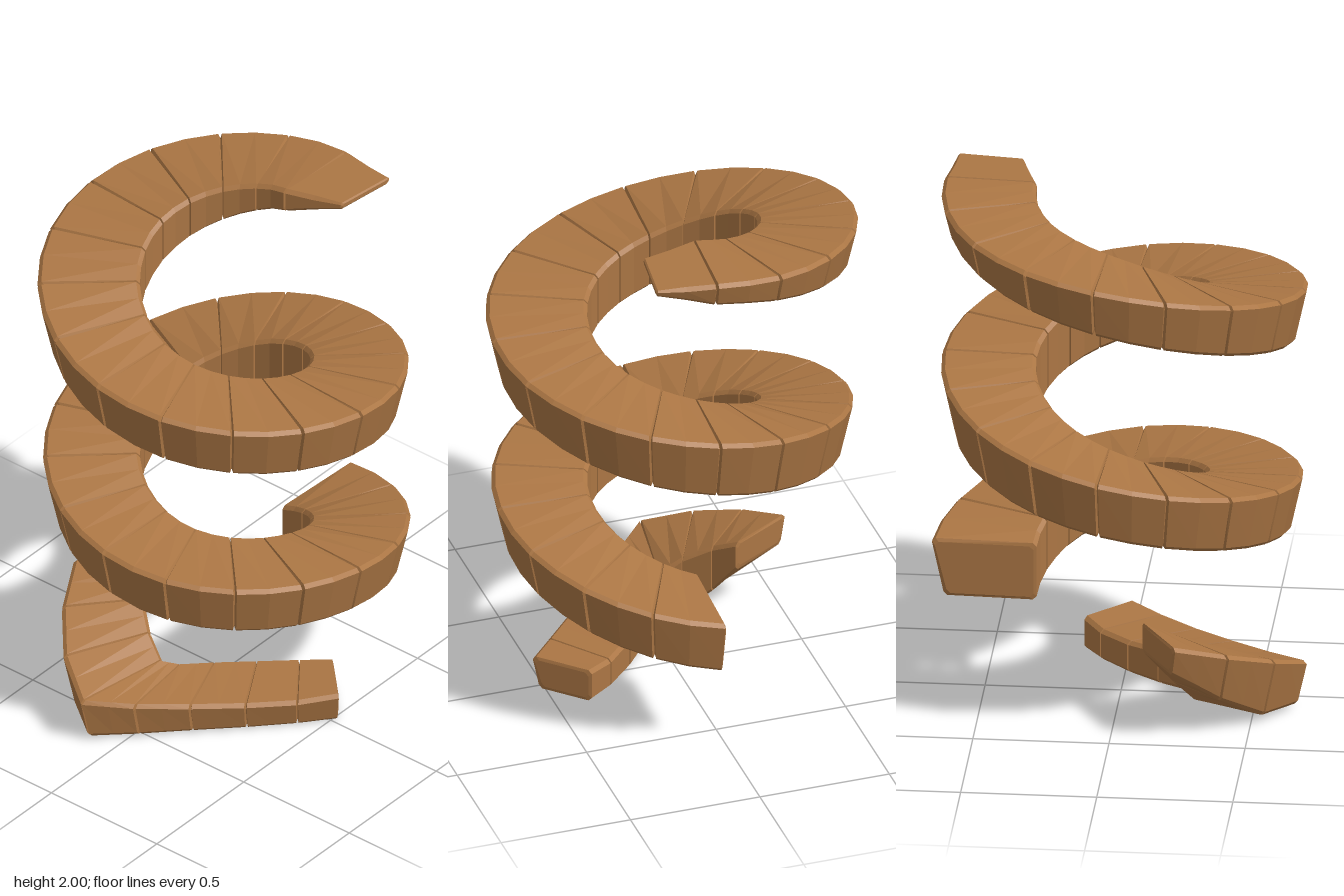
import * as THREE from 'three';

const lerp = THREE.MathUtils.lerp;
const mix = (a, b, t) => a.map((v, i) => lerp(v, b[i], t));

// A station is one cross-section: [inner x, inner z, outer x, outer z, top, bottom]
function ring(s, inset) {
  const [xi, zi, xo, zo, top, bot] = s;
  const h = top - bot, w = Math.hypot(xo - xi, zo - zi);
  const g = Math.min(inset, h * 0.2);
  const c = Math.min(0.014, h * 0.25);
  const lean = 0.19 * h; // outer wall leans in towards the bottom
  const profile = [ // distance from the inner edge, height
    [w - lean - c - g, bot + g], [c + g, bot + g],
    [g, bot + c + g], [g, top - c - g],
    [c + g, top - g], [w - c - g, top - g],
    [w - g, top - c - g], [w - lean - g, bot + c + g],
  ];
  return profile.map(([d, y]) => [lerp(xi, xo, d / w), y, lerp(zi, zo, d / w)]);
}

// Loft of wedge-shaped blocks with a thin groove at every joint
function blockRun(count, stationAt) {
  const rings = [ring(stationAt(0), 0.012)];
  for (let k = 0; k < count; k++) {
    for (const t of [0.025, 0.5, 0.975]) rings.push(ring(stationAt(k + t), 0));
    rings.push(ring(stationAt(k + 1), 0.012));
  }
  const pos = rings.flat(2), idx = [], n = 8;
  for (let r = 0; r < rings.length - 1; r++) {
    for (let i = 0; i < n; i++) {
      const a = r * n + i, b = r * n + (i + 1) % n;
      idx.push(a, b, b + n, a, b + n, a + n);
    }
  }
  const last = (rings.length - 1) * n;
  for (let i = 1; i < n - 1; i++) {
    idx.push(0, i + 1, i);
    idx.push(last, last + i, last + i + 1);
  }
  const geo = new THREE.BufferGeometry();
  geo.setAttribute('position', new THREE.Float32BufferAttribute(pos, 3));
  geo.setIndex(idx);
  const flat = geo.toNonIndexed();
  flat.computeVertexNormals();
  return flat;
}

// Slightly uneven spiral, one entry per quarter turn: outer radius, top, bottom
const quarters = new THREE.CatmullRomCurve3([
  [0.655, 2.0, 1.9], [0.685, 1.865, 1.67], [0.685, 1.635, 1.415],
  [0.682, 1.485, 1.265], [0.66, 1.31, 1.06], [0.665, 1.09, 0.86],
  [0.668, 0.885, 0.665], [0.665, 0.77, 0.56], [0.7, 0.56, 0.335],
].map((p) => new THREE.Vector3(...p)), false, 'catmullrom', 0.5);

// Helix station at an angle in degrees, 0 at +x and turning towards the back
const START = -4, END = 718;
function helix(deg) {
  const a = THREE.MathUtils.degToRad(deg), ri = 0.312;
  const q = quarters.getPoint(Math.max(0, deg) / 720);
  return [ri * Math.cos(a), -ri * Math.sin(a), q.x * Math.cos(a), -q.x * Math.sin(a), q.y, q.z];
}

export function createModel() {
  const group = new THREE.Group();
  const clay = new THREE.MeshStandardMaterial({ color: 0xab7644 });
  clay.name = 'brownStone';

  // Upper spiral: thin tip, then two full turns
  const turns = 32, tip = [0.38, 0.24, 0.62, 0.27, 2, 1.975];
  const upper = new THREE.Mesh(blockRun(turns + 1, (u) =>
    u < 1 ? mix(tip, helix(START), u) : helix(lerp(START, END, (u - 1) / turns))), clay);
  upper.name = 'upperSpiralRamp';

  // Broken-off foot: curls down from the back, then runs straight to the front
  const foot = [
    [-0.10, -0.28, -0.24, -0.52, 0.395, 0.28],
    [-0.20, -0.22, -0.43, -0.42, 0.33, 0.14],
    [-0.27, -0.13, -0.59, -0.28, 0.26, 0.03],
    [-0.30, -0.05, -0.695, -0.11, 0.19, 0.015],
    [-0.24, -0.01, -0.56, 0.03, 0.16, 0.01],
    [-0.13, 0.06, -0.41, 0.17, 0.14, 0.005],
    [-0.01, 0.16, -0.26, 0.31, 0.125, 0],
    [0.10, 0.27, -0.12, 0.44, 0.12, 0],
    [0.17, 0.37, 0.00, 0.54, 0.13, 0],
  ];
  const lower = new THREE.Mesh(blockRun(foot.length - 1, (u) => {
    const k = Math.min(Math.floor(u), foot.length - 2);
    return mix(foot[k], foot[k + 1], u - k);
  }), clay);
  lower.name = 'lowerRampFoot';

  group.add(upper, lower);
  return group;
}
